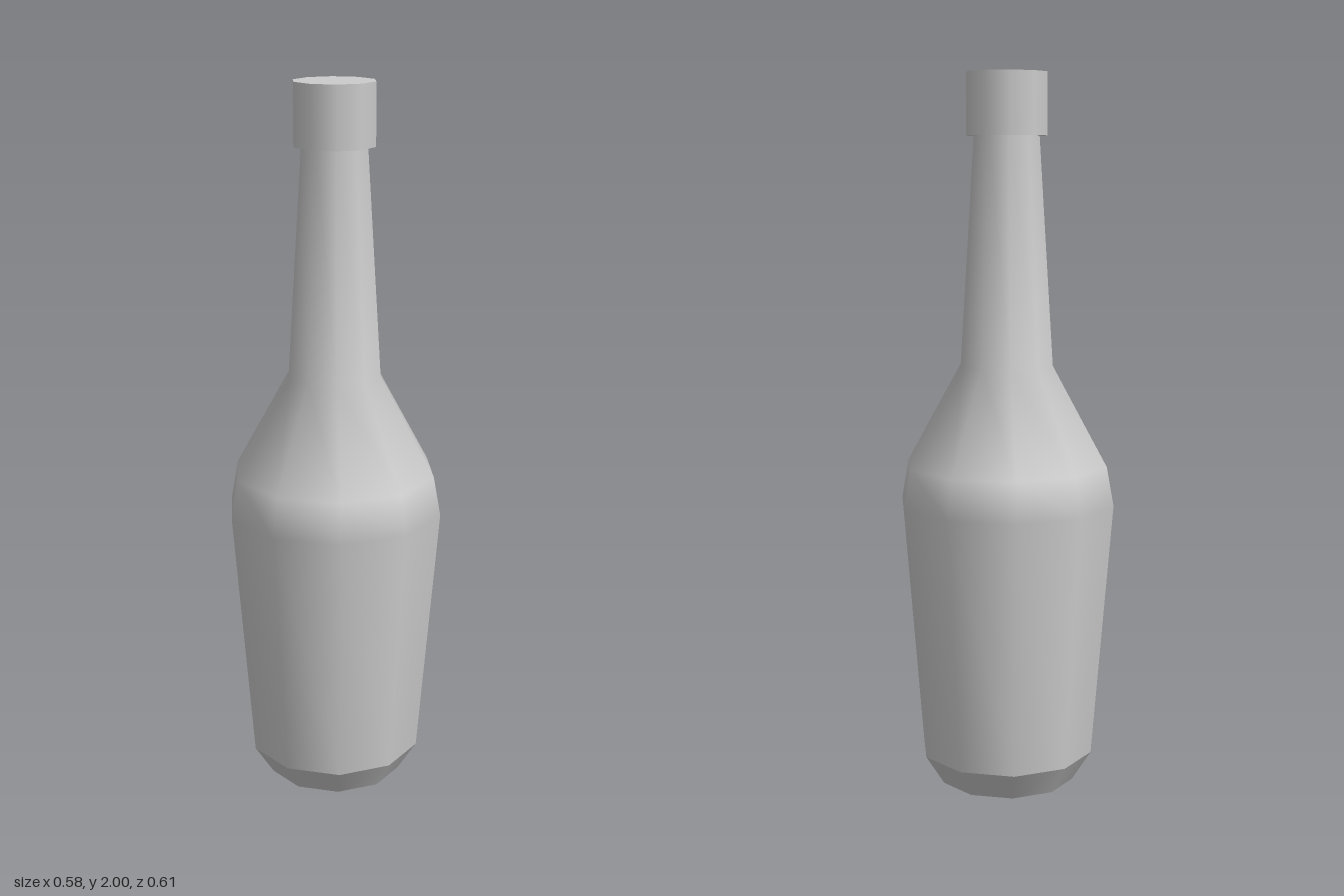
import * as THREE from 'three';

const SIDES = 10;
const material = new THREE.MeshStandardMaterial({ color: 0xcccccc });

function addPart(group, name, geometry, y = 0) {
  const mesh = new THREE.Mesh(geometry, material);
  mesh.name = name;
  mesh.position.y = y;
  group.add(mesh);
}

export function createModel() {
  const bottle = new THREE.Group();
  bottle.name = 'bottle';

  // Chamfered foot, kept separate so its upper rim stays sharp
  const footHeight = 0.085;
  addPart(bottle, 'foot',
    new THREE.CylinderGeometry(0.248, 0.194, footHeight, SIDES), footHeight / 2);

  // Flaring body, shoulder and tapering neck, smoothly shaded
  const profile = [
    [0.248, footHeight], [0.307, 0.81], [0.287, 0.92], [0.132, 1.2], [0.092, 1.84],
  ].map(([r, y]) => new THREE.Vector2(r, y));
  addPart(bottle, 'bodyAndNeck', new THREE.LatheGeometry(profile, SIDES));

  // Cap
  const capBottom = 1.83;
  addPart(bottle, 'cap',
    new THREE.CylinderGeometry(0.114, 0.114, 2 - capBottom, SIDES), (2 + capBottom) / 2);

  return bottle;
}
